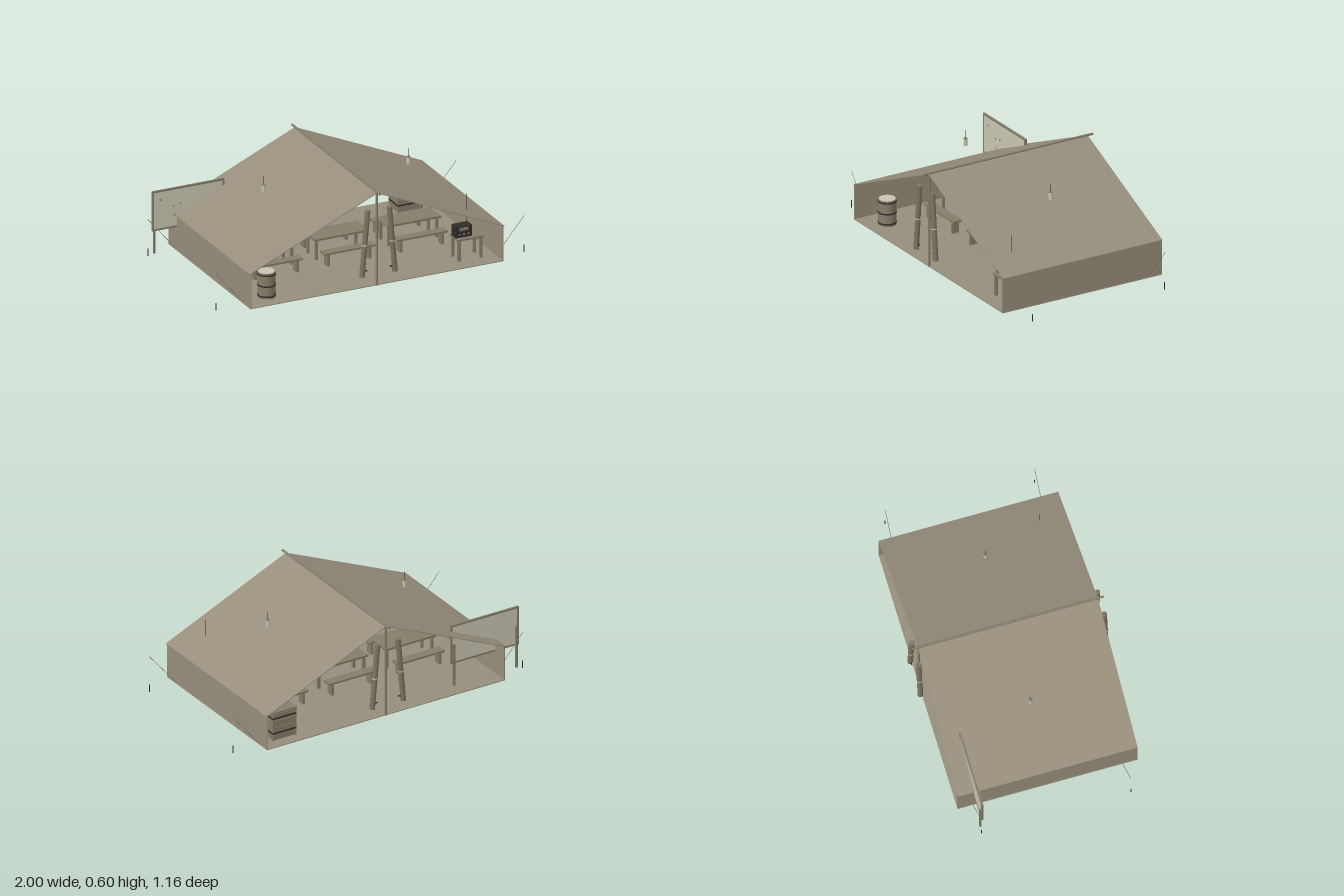
import * as THREE from 'three';

const mat = (name, color) => {
  const m = new THREE.MeshStandardMaterial({ color });
  m.name = name;
  return m;
};

export function createModel() {
  const canvas = mat('canvas', 0x978e7b);
  const wood = mat('wood', 0x857d69);
  const rolled = mat('rolledCanvas', 0x7d7562);
  const drum = mat('drumPaint', 0x857d68);
  const dark = mat('darkMetal', 0x2e2d2a);
  const pale = mat('pale', 0xc8c6b2);
  const rope = mat('rope', 0x857c68);

  const model = new THREE.Group();
  model.name = 'openTent';
  const group = (name, x = 0, y = 0, z = 0) => {
    const g = new THREE.Group();
    g.name = name;
    g.position.set(x, y, z);
    model.add(g);
    return g;
  };
  const add = (parent, name, geo, material, x = 0, y = 0, z = 0) => {
    const m = new THREE.Mesh(geo, material);
    m.name = name;
    m.position.set(x, y, z);
    parent.add(m);
    return m;
  };
  const box = (p, name, w, h, d, m, x, y, z) => add(p, name, new THREE.BoxGeometry(w, h, d), m, x, y, z);
  const cyl = (p, name, r, h, m, x, y, z, n = 16) => add(p, name, new THREE.CylinderGeometry(r, r, h, n), m, x, y, z);
  // Cylinder between two points
  const rod = (p, name, a, b, r, m, n = 8) => {
    const A = new THREE.Vector3(...a), B = new THREE.Vector3(...b);
    const c = cyl(p, name, r, A.distanceTo(B), m, 0, 0, 0, n);
    c.position.copy(A).add(B).multiplyScalar(0.5);
    c.quaternion.setFromUnitVectors(new THREE.Vector3(0, 1, 0), B.sub(A).normalize());
    return c;
  };

  // Tent shell: floor, low side walls and two roof slopes, open at both ends
  const tent = group('tent');
  box(tent, 'floor', 1.64, 0.005, 1.09, canvas, 0, 0.01, 0);
  for (const s of [-1, 1]) {
    box(tent, 'sideWall', 0.005, 0.22, 1.09, canvas, s * 0.815, 0.12, 0);
    const slope = new THREE.Shape([
      [0, 0.593], [s * 0.825, 0.229], [s * 0.825, 0.224], [0, 0.588],
    ].map(([x, y]) => new THREE.Vector2(x, y)));
    add(tent, 'roofSlope', new THREE.ExtrudeGeometry(slope, { depth: 1.09, bevelEnabled: false }), canvas, 0, 0, -0.545);
  }

  // Poles
  rod(tent, 'ridgePole', [0, 0.594, -0.58], [0, 0.594, 0.58], 0.007, wood, 12);
  for (const z of [-0.54, 0.54]) cyl(tent, 'endPole', 0.008, 0.585, wood, 0, 0.3, z, 12);

  // Rolled door flaps, guy lines and stakes, mirrored
  for (const sx of [-1, 1]) for (const sz of [-1, 1]) {
    const at = (t) => [sx * (0.107 - 0.037 * t), 0.087 + 0.411 * t, sz * 0.562];
    rod(tent, 'rolledFlap', at(0), at(1), 0.0165, rolled, 14);
    rod(tent, 'flapTie', at(0.47), at(0.485), 0.0178, pale, 14);
    box(tent, 'flapToggle', 0.018, 0.006, 0.008, dark, sx * 0.083, 0.12, sz * 0.562);
    rod(tent, 'guyLine', [sx * 0.815, 0.012, sz * 0.453], [sx * 0.998, 0.23, sz * 0.453], 0.0015, rope, 6);
    cyl(tent, 'stake', 0.003, 0.045, dark, sx * 0.997, 0.0225, sz * 0.453, 8);
  }

  // Three table sets, each with two benches, and a lantern above each
  for (const x of [-0.47, 0, 0.47]) {
    const set = group('tableSet', x, 0, 0);
    box(set, 'tableTop', 0.35, 0.013, 0.15, wood, 0, 0.142, 0);
    for (const lx of [-0.155, 0.155]) {
      for (const lz of [-0.055, 0.055]) box(set, 'tableLeg', 0.016, 0.125, 0.016, wood, lx, 0.074, lz);
    }
    for (const z of [-0.155, 0.155]) {
      box(set, 'benchSeat', 0.33, 0.012, 0.06, wood, 0, 0.092, z);
      for (const lx of [-0.135, 0.135]) box(set, 'benchLeg', 0.016, 0.075, 0.045, wood, lx, 0.049, z);
    }
    const lantern = group('lantern', x, 0, 0);
    cyl(lantern, 'lanternGlass', 0.0115, 0.044, pale, 0, 0.502, 0, 12);
    cyl(lantern, 'lanternCap', 0.0118, 0.004, rope, 0, 0.525, 0, 12);
    cyl(lantern, 'lanternHanger', 0.002, 0.05, dark, 0, 0.551, 0, 6);
  }

  // Barrel with hoops
  const barrel = group('barrel', -0.655, 0.012, 0.42);
  cyl(barrel, 'barrelBody', 0.053, 0.16, drum, 0, 0.08, 0, 24);
  for (const y of [0.016, 0.08, 0.148]) cyl(barrel, 'barrelHoop', 0.0555, 0.008, dark, 0, y, 0, 24);
  cyl(barrel, 'barrelLid', 0.049, 0.004, pale, 0, 0.161, 0, 24);

  // Slatted crate with straps
  const crate = group('crate', 0.655, 0.012, -0.415);
  box(crate, 'crateCore', 0.148, 0.172, 0.108, wood, 0, 0.088, 0);
  for (let i = 0; i < 4; i++) box(crate, 'crateSlat', 0.158, 0.037, 0.118, wood, 0, 0.021 + i * 0.043, 0);
  for (const sx of [-1, 1]) for (const sz of [-1, 1]) {
    box(crate, 'crateCorner', 0.014, 0.175, 0.014, wood, sx * 0.074, 0.088, sz * 0.054);
  }
  for (const y of [0.047, 0.143]) box(crate, 'crateStrap', 0.164, 0.009, 0.124, dark, 0, y, 0);
  box(crate, 'crateLid', 0.166, 0.01, 0.126, wood, 0, 0.179, 0);

  // Side table with a radio set and aerial
  const station = group('radioStation', 0.65, 0, 0.4);
  box(station, 'sideTableTop', 0.17, 0.012, 0.11, wood, 0, 0.147, 0);
  for (const lx of [-0.07, 0.07]) for (const lz of [-0.042, 0.042]) {
    box(station, 'sideTableLeg', 0.016, 0.13, 0.016, wood, lx, 0.076, lz);
  }
  box(station, 'radioBody', 0.105, 0.07, 0.06, dark, -0.032, 0.188, 0);
  box(station, 'radioPanel', 0.055, 0.02, 0.003, rope, -0.032, 0.205, 0.031);
  for (const x of [-0.06, -0.032, -0.004]) box(station, 'radioKnob', 0.01, 0.01, 0.005, rope, x, 0.173, 0.031);
  cyl(station, 'aerial', 0.0018, 0.185, dark, 0.008, 0.312, -0.016, 6);

  // Notice board on two posts, framed, with pins on its front
  const board = group('noticeBoard', -0.743, 0, -0.44);
  box(board, 'boardPanel', 0.455, 0.24, 0.007, pale, 0, 0.281, 0);
  for (const y of [0.161, 0.4]) box(board, 'frameRail', 0.466, 0.011, 0.012, wood, 0, y, 0);
  for (const x of [-0.2275, 0.2275]) box(board, 'frameStile', 0.011, 0.25, 0.012, wood, x, 0.28, 0);
  for (const x of [-0.215, 0.215]) box(board, 'boardPost', 0.013, 0.27, 0.012, wood, x, 0.146, -0.007);
  for (const [x, y] of [[-0.18, 0.345], [-0.095, 0.29], [-0.09, 0.235], [-0.05, 0.3], [0.045, 0.205], [0.178, 0.278], [0.18, 0.33]]) {
    box(board, 'pin', 0.01, 0.01, 0.003, rope, x, y, 0.004);
  }
  return model;
}
